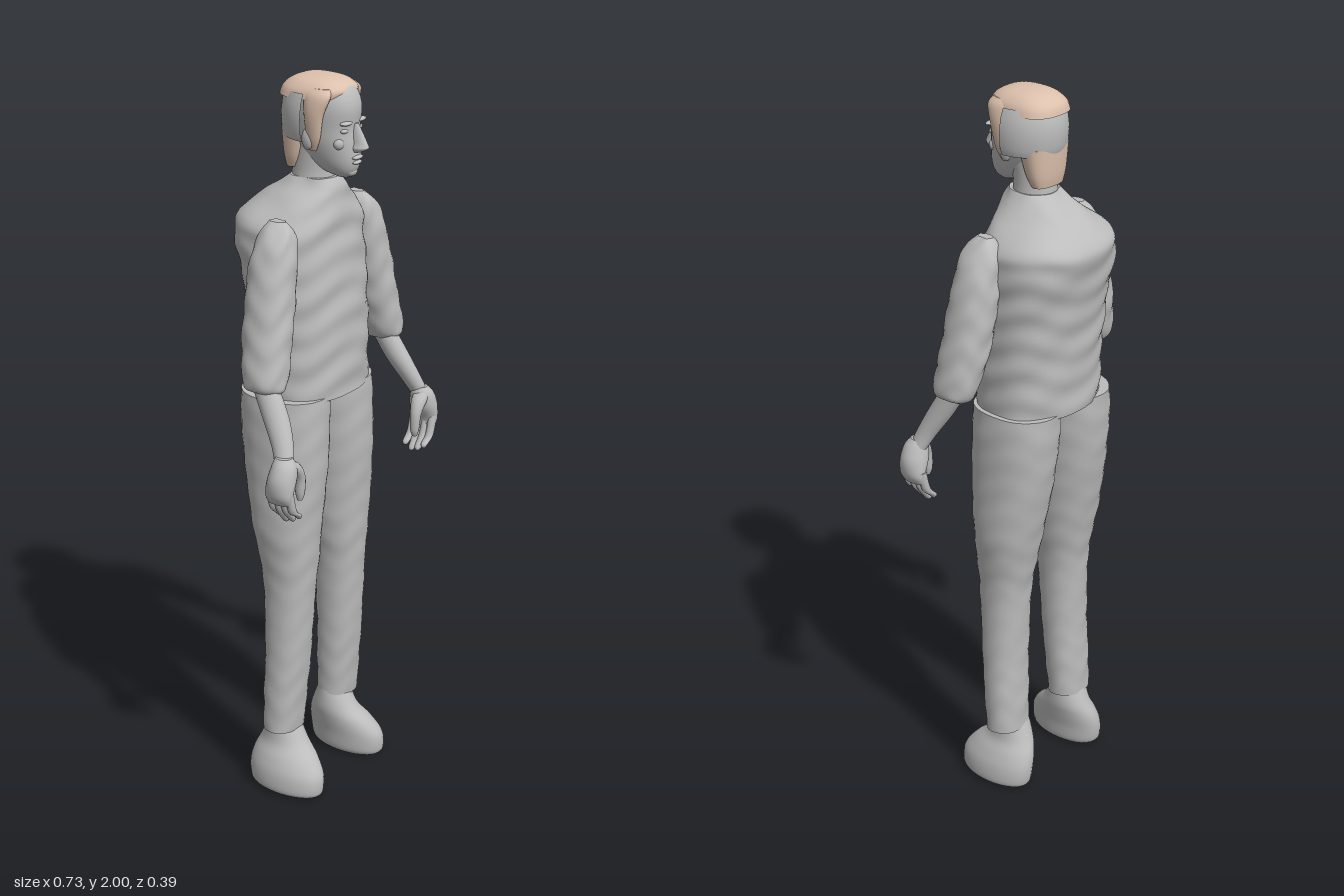
import * as THREE from 'three';

// Smooth interpolation between four neighbouring values
function spline(a, b, c, d, t) {
  const m0 = (c - a) / 2, m1 = (d - b) / 2, t2 = t * t, t3 = t2 * t;
  return (2 * t3 - 3 * t2 + 1) * b + (t3 - 2 * t2 + t) * m0 + (3 * t2 - 2 * t3) * c + (t3 - t2) * m1;
}

// Closed body through horizontal rings [y, xMin, xMax, zMin, zMax], listed from the bottom up
function loft(rings, { power = 2, seg = 32, sub = 5, bump = 0 } = {}) {
  const pos = [], idx = [], rows = [];
  const ring = i => rings[Math.min(rings.length - 1, Math.max(0, i))];
  for (let i = 0; i < rings.length - 1; i++) {
    for (let k = 0; k < sub; k++) {
      rows.push(ring(i).map((v, c) => spline(ring(i - 1)[c], v, ring(i + 1)[c], ring(i + 2)[c], k / sub)));
    }
  }
  rows.push(ring(rings.length - 1));
  const round = v => Math.sign(v) * Math.abs(v) ** (2 / power);
  const addRow = ([y, x0, x1, z0, z1]) => {
    for (let j = 0; j < seg; j++) {
      const a = (j / seg) * Math.PI * 2;
      // cloth folds
      const w = bump * (Math.sin(y * 75 + 2 * Math.sin(a * 3)) + 0.6 * Math.sin(y * 41 + a * 5));
      pos.push((x0 + x1) / 2 + ((x1 - x0) / 2 + w) * round(Math.cos(a)), y,
        (z0 + z1) / 2 + ((z1 - z0) / 2 + w) * round(Math.sin(a)));
    }
  };
  rows.forEach(addRow);
  for (let i = 0; i < rows.length - 1; i++) {
    for (let j = 0; j < seg; j++) {
      const a = i * seg + j, b = i * seg + (j + 1) % seg;
      idx.push(a, a + seg, b, b, a + seg, b + seg);
    }
  }
  // end caps
  [rows[0], rows[rows.length - 1]].forEach((r, top) => {
    const s = pos.length / 3;
    addRow(r);
    pos.push((r[1] + r[2]) / 2, r[0], (r[3] + r[4]) / 2);
    for (let j = 0; j < seg; j++) {
      const a = s + j, b = s + (j + 1) % seg;
      idx.push(s + seg, top ? b : a, top ? a : b);
    }
  });
  const g = new THREE.BufferGeometry();
  g.setAttribute('position', new THREE.Float32BufferAttribute(pos, 3));
  g.setIndex(idx);
  g.computeVertexNormals();
  return g;
}

// Rings for one side, mirrored about x = centre
const sided = (rings, s, centre) => rings.map(([y, a, b, z0, z1]) =>
  s > 0 ? [y, centre + a, centre + b, z0, z1] : [y, centre - b, centre - a, z0, z1]);

export function createModel() {
  const model = new THREE.Group();
  const grey = new THREE.MeshStandardMaterial({ name: 'grey', color: 0xbcbcbc });
  const tan = new THREE.MeshStandardMaterial({ name: 'tan hair', color: 0xdcc0ac });
  const add = (name, geometry, material = grey) => {
    const m = new THREE.Mesh(geometry, material);
    m.name = name;
    model.add(m);
    return m;
  };
  const blob = (name, x, y, z, rx, ry, rz, material = grey) => {
    const m = add(name, new THREE.SphereGeometry(1, 16, 12), material);
    m.position.set(x, y, z);
    m.scale.set(rx, ry, rz);
    return m;
  };
  const C = 0.012; // centre line of the upper body

  // Shirt
  add('shirt', loft([
    [1.15, -0.155, 0.193, -0.14, 0.125],
    [1.3, -0.153, 0.193, -0.148, 0.125],
    [1.45, -0.158, 0.196, -0.163, 0.118],
    [1.57, -0.165, 0.198, -0.185, 0.108],
    [1.625, -0.15, 0.185, -0.183, 0.105],
    [1.68, -0.095, 0.12, -0.122, 0.098],
    [1.71, -0.062, 0.09, -0.08, 0.092],
    [1.735, -0.045, 0.07, -0.05, 0.08],
  ], { power: 2.4, seg: 56, sub: 12, bump: 0.0022 }));

  // Neck and head
  add('neck', loft([
    [1.68, -0.055, 0.08, -0.055, 0.085],
    [1.74, -0.042, 0.067, -0.048, 0.07],
    [1.82, -0.042, 0.067, -0.045, 0.08],
  ]));
  add('head', loft([
    [1.742, C - 0.016, C + 0.016, 0.085, 0.125],
    [1.757, C - 0.034, C + 0.034, 0.04, 0.14],
    [1.785, C - 0.05, C + 0.05, -0.01, 0.148],
    [1.83, C - 0.064, C + 0.064, -0.045, 0.146],
    [1.87, C - 0.07, C + 0.07, -0.055, 0.141],
    [1.92, C - 0.074, C + 0.074, -0.06, 0.145],
    [1.955, C - 0.07, C + 0.07, -0.055, 0.136],
    [1.978, C - 0.052, C + 0.052, -0.03, 0.118],
    [1.988, C - 0.02, C + 0.02, 0.01, 0.08],
  ], { power: 2.2 }));

  // Face
  add('nose', loft([
    [1.812, C - 0.014, C + 0.014, 0.13, 0.16],
    [1.822, C - 0.018, C + 0.018, 0.12, 0.178],
    [1.835, C - 0.014, C + 0.014, 0.12, 0.176],
    [1.885, C - 0.007, C + 0.007, 0.12, 0.148],
  ], { seg: 16 }));
  blob('upper lip', C, 1.797, 0.146, 0.021, 0.006, 0.01);
  blob('lower lip', C, 1.784, 0.144, 0.018, 0.006, 0.01);
  blob('chin', C, 1.758, 0.128, 0.02, 0.014, 0.014);
  for (const s of [-1, 1]) {
    blob('brow', C + s * 0.03, 1.888, 0.132, 0.023, 0.006, 0.012);
    blob('eye', C + s * 0.03, 1.868, 0.127, 0.015, 0.007, 0.009);
    blob('cheek', C + s * 0.035, 1.835, 0.115, 0.02, 0.018, 0.016);
    blob('ear', C + s * 0.075, 1.845, 0.045, 0.012, 0.028, 0.018);
    // Side hair
    add('sideHair', loft(sided([
      [1.815, 0.06, 0.072, 0.045, 0.065],
      [1.85, 0.06, 0.084, 0.04, 0.08],
      [1.91, 0.06, 0.092, 0.035, 0.092],
      [1.955, 0.05, 0.086, 0.03, 0.108],
      [1.975, 0.04, 0.07, 0.03, 0.1],
    ], s, C), { seg: 20 }), tan);
  }

  // Hair on the crown and nape
  add('crownHair', loft([
    [1.945, C - 0.084, C + 0.084, -0.072, 0.118],
    [1.968, C - 0.077, C + 0.077, -0.064, 0.126],
    [1.987, C - 0.058, C + 0.058, -0.04, 0.105],
    [1.997, C - 0.032, C + 0.032, -0.01, 0.072],
    [2.0, C - 0.008, C + 0.008, 0.02, 0.04],
  ], { power: 2.6 }), tan);
  add('napeHair', loft([
    [1.755, C - 0.05, C + 0.05, -0.054, -0.005],
    [1.79, C - 0.062, C + 0.062, -0.06, 0.012],
    [1.86, C - 0.074, C + 0.074, -0.064, 0.03],
  ], { power: 2.4 }), tan);

  // Shell around the back of the head
  const shellProfile = [[0.094, 1.84], [0.101, 1.86], [0.103, 1.9], [0.099, 1.935], [0.088, 1.962]];
  const shell = add('backShell', new THREE.LatheGeometry(
    shellProfile.map(p => new THREE.Vector2(...p)), 32, Math.PI / 2, Math.PI),
  new THREE.MeshStandardMaterial({ name: 'grey shell', color: 0xbcbcbc, side: THREE.DoubleSide }));
  shell.position.set(C, 0, 0.04);
  shell.scale.z = 1.08;

  for (const s of [-1, 1]) {
    const side = s > 0 ? 'left' : 'right';
    // Sleeve
    add(side + 'Sleeve', loft(sided([
      [1.225, 0.23, 0.298, 0.0, 0.095],
      [1.245, 0.218, 0.318, -0.01, 0.108],
      [1.32, 0.192, 0.307, -0.025, 0.105],
      [1.4, 0.172, 0.291, -0.032, 0.1],
      [1.5, 0.15, 0.27, -0.035, 0.092],
      [1.58, 0.14, 0.245, -0.03, 0.085],
      [1.625, 0.145, 0.215, -0.018, 0.07],
      [1.65, 0.16, 0.188, 0.0, 0.045],
    ], s, C), { power: 2.2, sub: 8, bump: 0.0016 }));
    // Forearm
    add(side + 'Forearm', loft(sided([
      [1.05, 0.3, 0.342, 0.13, 0.177],
      [1.1, 0.275, 0.325, 0.105, 0.165],
      [1.17, 0.25, 0.31, 0.06, 0.135],
      [1.25, 0.24, 0.295, 0.015, 0.09],
    ], s, 0.003)));
    // Hand
    add(side + 'Palm', loft(sided([
      [0.965, 0.32, 0.35, 0.118, 0.19],
      [0.99, 0.315, 0.364, 0.115, 0.195],
      [1.03, 0.292, 0.366, 0.118, 0.196],
      [1.065, 0.288, 0.352, 0.125, 0.19],
      [1.085, 0.295, 0.335, 0.13, 0.175],
    ], s, -0.002), { seg: 24 }));
    add(side + 'Thumb', loft(sided([
      [0.955, 0.262, 0.275, 0.162, 0.176],
      [0.975, 0.255, 0.28, 0.157, 0.182],
      [1.02, 0.256, 0.287, 0.154, 0.186],
      [1.055, 0.27, 0.32, 0.145, 0.188],
      [1.075, 0.295, 0.325, 0.145, 0.18],
    ], s, -0.002), { seg: 14 }));
    for (let f = 0; f < 4; f++) {
      const z = 0.124 + f * 0.02, tip = 0.895 + Math.abs(f - 1.3) * 0.012;
      add(side + 'Finger', loft(sided([
        [tip, 0.287, 0.298, z - 0.005, z + 0.005],
        [tip + 0.01, 0.286, 0.308, z - 0.01, z + 0.01],
        [0.945, 0.308, 0.333, z - 0.011, z + 0.011],
        [1.0, 0.322, 0.35, z - 0.011, z + 0.011],
      ], s, -0.002), { seg: 12 }));
    }
    // Trouser leg
    add(side + 'TrouserLeg', loft(sided([
      [0.175, 0.062, 0.189, -0.048, 0.052],
      [0.28, 0.056, 0.189, -0.048, 0.062],
      [0.4, 0.052, 0.185, -0.046, 0.073],
      [0.6, 0.045, 0.182, -0.054, 0.086],
      [0.7, 0.032, 0.19, -0.07, 0.094],
      [0.8, 0.02, 0.201, -0.09, 0.1],
      [0.95, 0.006, 0.199, -0.118, 0.112],
      [1.08, -0.002, 0.196, -0.133, 0.114],
      [1.16, -0.004, 0.19, -0.135, 0.112],
    ], s, s > 0 ? 0.016 : 0.008), { power: 2.2, sub: 8, bump: 0.0008 }));
    // Shoe
    add(side + 'Shoe', loft(sided([
      [0.0, 0.095, 0.2, -0.07, 0.138],
      [0.015, 0.085, 0.213, -0.083, 0.148],
      [0.06, 0.08, 0.21, -0.088, 0.146],
      [0.1, 0.073, 0.195, -0.082, 0.118],
      [0.14, 0.068, 0.175, -0.065, 0.075],
      [0.2, 0.072, 0.17, -0.04, 0.04],
    ], s, 0.005)));
  }
  return model;
}
